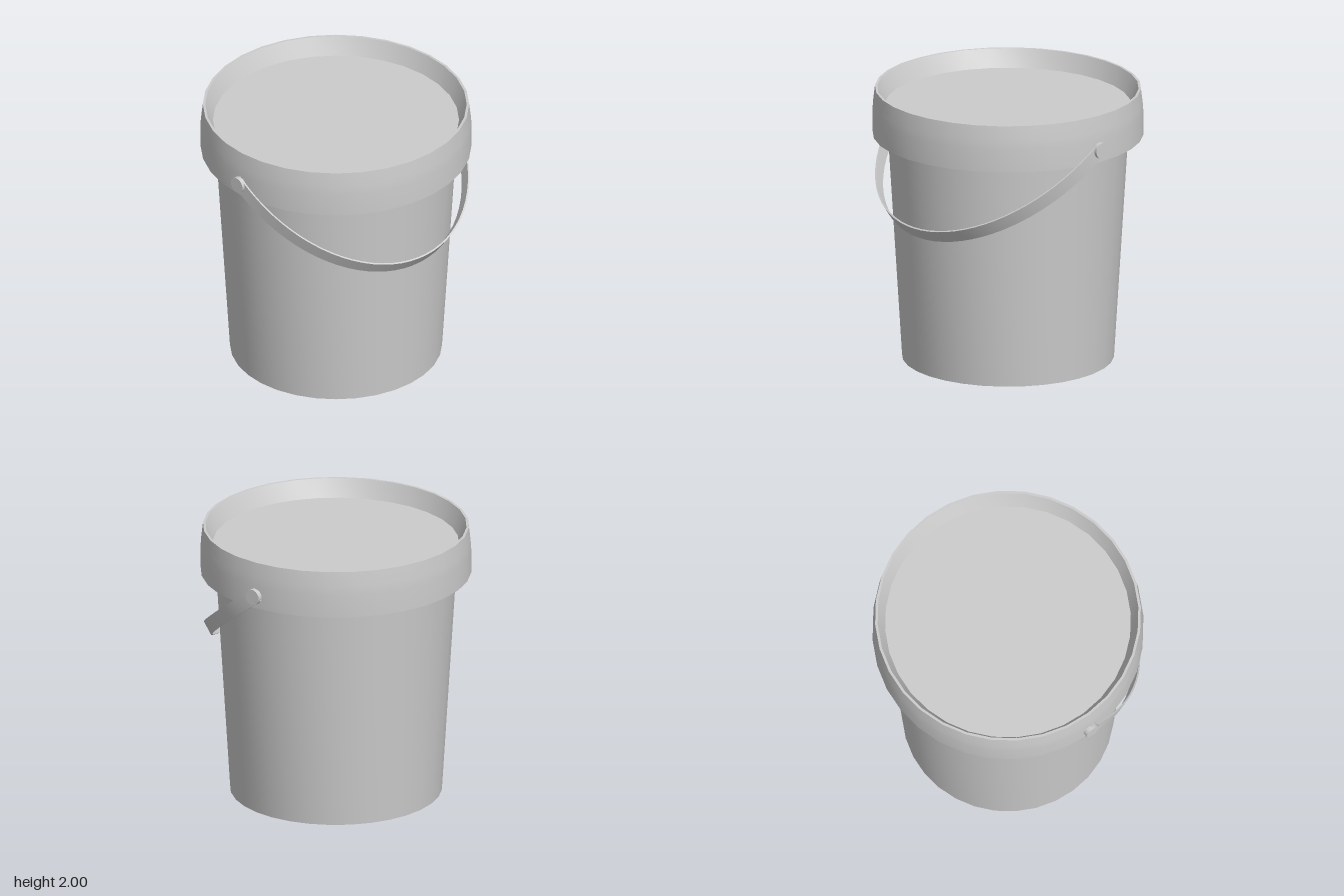
import * as THREE from 'three';
import { toCreasedNormals } from 'three/addons/utils/BufferGeometryUtils.js';

const SIDES = 32;

export function createModel() {
  const bucket = new THREE.Group();
  bucket.name = 'bucket';
  const grey = new THREE.MeshStandardMaterial({ color: 0xcccccc });

  const add = (name, geometry, parent = bucket) => {
    const mesh = new THREE.Mesh(geometry, grey);
    mesh.name = name;
    parent.add(mesh);
    return mesh;
  };
  // Turned part: smooth around, sharp at profile corners
  const turned = (profile) => toCreasedNormals(
    new THREE.LatheGeometry(profile.map(([r, y]) => new THREE.Vector2(r, y)), SIDES), Math.PI / 7);

  // Tapered body with a closed bottom
  add('body', turned([[0, 0], [0.755, 0], [0.857, 1.66]]));

  // Lid: overhanging skirt, thin rim and sunken top panel
  add('lid', turned([
    [0.857, 1.66], [0.965, 1.66], [0.965, 1.83], [0.961, 1.89], [0.948, 2],
    [0.93, 2], [0.876, 1.87], [0, 1.87],
  ]));

  // Pivot pins on both sides
  const pivotY = 1.75, pivotZ = -0.005;
  for (const side of [1, -1]) {
    const pin = add(side > 0 ? 'leftPin' : 'rightPin', new THREE.CylinderGeometry(0.058, 0.058, 0.06, 20));
    pin.rotation.z = Math.PI / 2;
    pin.position.set(side * 0.965, pivotY, pivotZ);
  }

  // Flat strap bent into a half ellipse, hanging forward from the pins
  const width = 0.106, tail = 0.034, steps = 40;
  const arc = (rx, ry) => {
    const points = [new THREE.Vector2(rx, tail)];
    for (let i = 0; i <= steps; i++) {
      const a = (i / steps) * Math.PI;
      points.push(new THREE.Vector2(rx * Math.cos(a), -ry * Math.sin(a)));
    }
    points.push(new THREE.Vector2(-rx, tail));
    return points;
  };
  const strap = new THREE.Shape([...arc(0.974, 1.103), ...arc(0.962, 1.091).reverse()]);
  const strapGeometry = new THREE.ExtrudeGeometry(strap, { depth: width, bevelEnabled: false });
  strapGeometry.translate(0, 0, -width / 2);
  const handle = add('handle', toCreasedNormals(strapGeometry, Math.PI / 6));
  handle.position.set(0, pivotY, pivotZ);
  handle.rotation.x = -0.934;

  return bucket;
}
